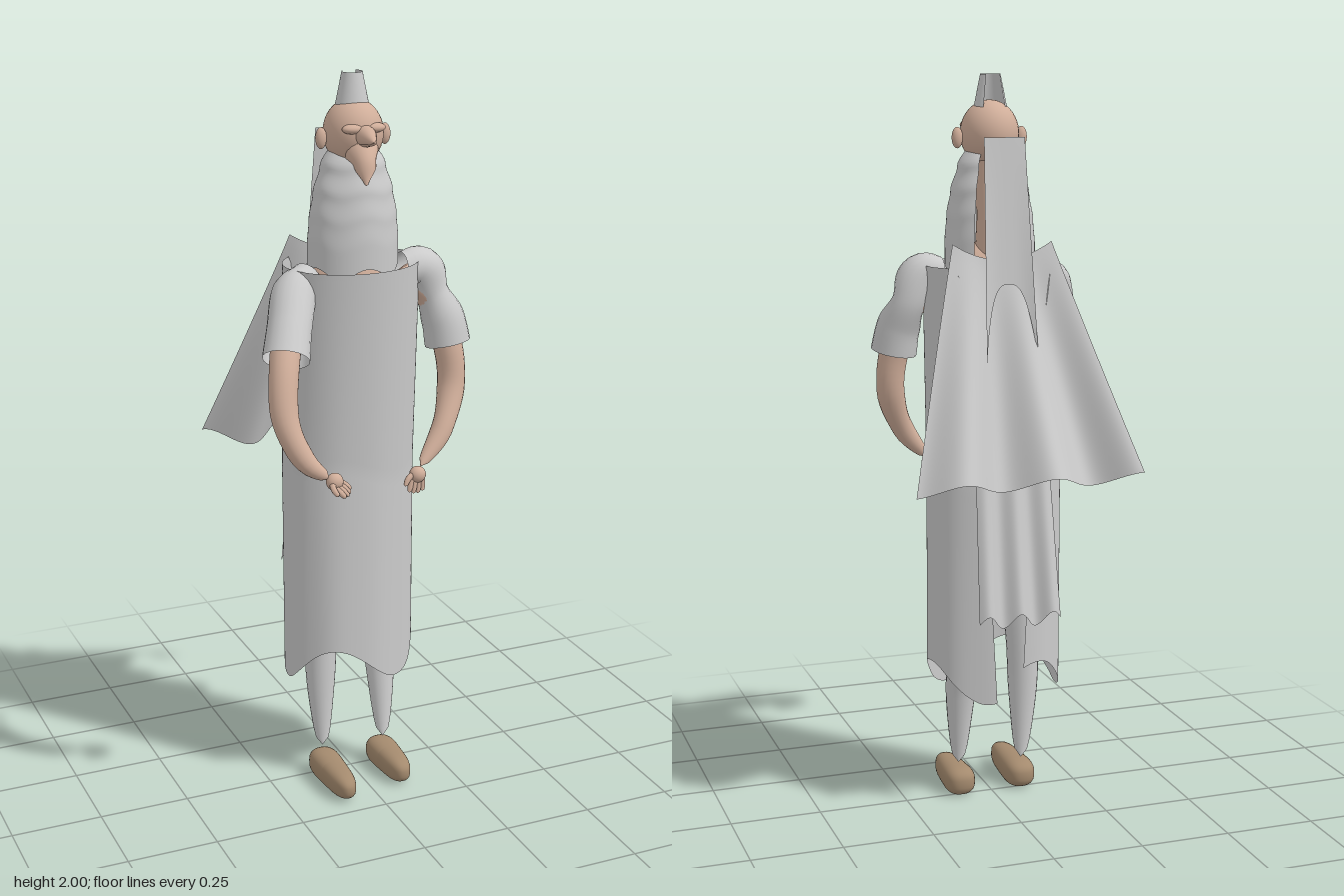
import * as THREE from 'three';
import { ParametricGeometry } from 'three/addons/geometries/ParametricGeometry.js';

const material = (color, side = THREE.FrontSide) => new THREE.MeshStandardMaterial({ color, side, roughness: 0.8 });
const cloth = material(0xcccccc, THREE.DoubleSide);
const skin = material(0xd0ae9a);
const leather = material(0xa48a6e);
const lerp = THREE.MathUtils.lerp;

// Smoothly samples a list of values at t in 0..1
function sample(list, t) {
  const f = t * (list.length - 1);
  const i = Math.min(Math.floor(f), list.length - 2);
  return lerp(list[i], list[i + 1], THREE.MathUtils.smoothstep(f - i, 0, 1));
}

function add(parent, name, geometry, mat, pos = [0, 0, 0], scale = [1, 1, 1]) {
  const mesh = new THREE.Mesh(geometry, mat);
  mesh.name = name;
  mesh.position.set(...pos);
  mesh.scale.set(...scale);
  parent.add(mesh);
  return mesh;
}

const ball = (parent, name, pos, scale, mat = skin) =>
  add(parent, name, new THREE.SphereGeometry(1, 32, 24), mat, pos, scale);

// Tube of changing radius; rounded at both ends unless it is open
function limb(parent, name, points, radii, mat, open = false, rings = 32, sides = 20) {
  const path = new THREE.CatmullRomCurve3(points.map((p) => new THREE.Vector3(...p)));
  const geometry = new THREE.TubeGeometry(path, rings, 1, sides);
  const pos = geometry.attributes.position;
  const v = new THREE.Vector3();
  for (let i = 0; i <= rings; i++) {
    const t = i / rings;
    const centre = path.getPointAt(t);
    const r = sample(radii, t) * (open ? 1 : Math.sqrt(Math.max(0, 1 - Math.abs(2 * t - 1) ** 10)));
    for (let j = 0; j <= sides; j++) {
      const k = i * (sides + 1) + j;
      v.fromBufferAttribute(pos, k).sub(centre).multiplyScalar(r).add(centre);
      pos.setXYZ(k, v.x, v.y, v.z);
    }
  }
  return add(parent, name, geometry, mat);
}

// Cloth sheet: u runs across from -1 to 1, v runs from top (0) to hem (1)
function sheet(parent, name, rule, across = 80, down = 40) {
  const geometry = new ParametricGeometry((u, v, out) => out.set(...rule(u * 2 - 1, v)), across, down);
  geometry.computeVertexNormals();
  return add(parent, name, geometry, cloth);
}

// Palm, four fingers and a thumb; dir is where the fingers point, spread is the row direction
function hand(parent, name, wrist, dir, spread) {
  const g = new THREE.Group();
  g.name = name;
  parent.add(g);
  const w = new THREE.Vector3(...wrist);
  const d = new THREE.Vector3(...dir).normalize();
  const s = new THREE.Vector3(...spread).normalize();
  const at = (along, side) => w.clone().addScaledVector(d, along).addScaledVector(s, side).toArray();
  ball(g, 'palm', at(0.012, 0), [0.023, 0.023, 0.021]);
  for (let i = 0; i < 4; i++) {
    const side = (i - 1.5) * 0.012;
    limb(g, 'finger', [at(0.022, side), at(0.045, side * 1.15), at(0.068 - Math.abs(i - 1.5) * 0.005, side * 1.2)],
      [0.007, 0.008, 0.006], skin, false, 10, 8);
  }
  limb(g, 'thumb', [at(0.01, 0.015), at(0.022, 0.03), at(0.042, 0.038)], [0.009, 0.008, 0.006], skin, false, 10, 8);
}

export function createModel() {
  const model = new THREE.Group();
  model.name = 'robedFigure';

  // Head with pointed nose and chin
  const head = new THREE.Group();
  head.name = 'head';
  model.add(head);
  ball(head, 'skull', [0, 1.845, 0.015], [0.078, 0.088, 0.086]);
  limb(head, 'nose', [[0, 1.85, 0.05], [0, 1.845, 0.11], [0, 1.838, 0.147]], [0.05, 0.027, 0.012], skin);
  limb(head, 'chin', [[0, 1.81, 0.06], [0, 1.775, 0.09], [0, 1.72, 0.102]], [0.05, 0.029, 0.006], skin);
  for (const s of [-1, 1]) {
    ball(head, 'ear', [s * 0.09, 1.835, 0.015], [0.015, 0.028, 0.013]);
    ball(head, 'brow', [s * 0.03, 1.865, 0.083], [0.03, 0.013, 0.02]);
  }

  // Cap, open at the top and back
  sheet(head, 'cap', (u, v) => {
    const a = u * (Math.PI - 0.75);
    const r = lerp(0.027, 0.047, v);
    return [r * Math.sin(a), lerp(2, 1.9, v), 0.008 + r * Math.cos(a)];
  }, 40, 6);

  // Neck and torso
  limb(model, 'neck', [[0, 1.48, -0.01], [0, 1.62, -0.01], [0, 1.8, 0]], [0.05, 0.043, 0.045], skin);
  const profile = [[0, 0.85], [0.08, 0.87], [0.1, 1.0], [0.1, 1.2], [0.12, 1.35], [0.125, 1.45], [0.09, 1.52], [0.04, 1.56], [0, 1.57]];
  const spline = new THREE.SplineCurve(profile.map((p) => new THREE.Vector2(...p)));
  add(model, 'torso', new THREE.LatheGeometry(spline.getPoints(40), 40), skin, [0, 0, 0.005], [1, 1, 0.68]);

  // Long collar around the front of the neck, open at the back
  sheet(model, 'collar', (u, v) => {
    const a = u * (Math.PI - 0.62);
    const r = sample([0.055, 0.088, 0.107, 0.118, 0.123, 0.123], v);
    const hem = 1.49 + 0.012 * Math.cos(5 * a);
    return [r * Math.sin(a), lerp(1.825, hem, v), 0.012 + r * 0.84 * Math.cos(a)];
  });

  // Robe with a wavy hem and a slit down the back
  sheet(model, 'robe', (u, v) => {
    const a = u * (Math.PI - lerp(0.83, 0.2, Math.sqrt(v)));
    const hem = 0.365 + 0.055 * Math.cos(2.85 * (a + 0.5));
    const fold = 1 + 0.025 * v * Math.cos(2.85 * (a + 0.5)) + 0.008 * v * Math.sin(9 * a);
    const back = Math.min(1, v * 2);
    return [0.187 * fold * Math.sin(a), lerp(1.502, hem, v),
      lerp(0.003, -0.022, back) + lerp(0.152, 0.139, back) * fold * Math.cos(a)];
  }, 120, 50);

  // Flaring cape
  sheet(model, 'cape', (u, v) => {
    const x = u * lerp(0.138, 0.305, v) - 0.013 * v;
    const phase = (2 * Math.PI * (u * 0.305 + 0.057)) / 0.245;
    const z = lerp(-0.09, -0.288, v ** 1.1) - 0.033 * v * Math.cos(phase);
    return [x, lerp(1.52 + 0.045 * u * u, 0.95 + 0.02 * Math.cos(phase), v), z];
  }, 100, 40);

  // Long panel hanging under the cape
  sheet(model, 'backPanel', (u, v) => [
    u * lerp(0.09, 0.115, v),
    lerp(1.48, 0.57 + 0.02 * Math.cos(8 * u), v),
    lerp(-0.095, -0.24, v) - 0.01 * v * Math.cos(8 * u),
  ], 50, 24);

  // Tall strip behind the head with two pointed lower corners
  sheet(model, 'neckStrip', (u, v) => [
    u * lerp(0.056, 0.072, v),
    lerp(1.84, 1.46 - 0.2 * Math.abs(u) ** 3, v),
    lerp(-0.105, -0.14 - 0.035 * Math.abs(u) ** 3, v),
  ], 30, 20);

  // Right arm, reaching forward
  const rightArm = new THREE.Group();
  rightArm.name = 'rightArm';
  model.add(rightArm);
  limb(rightArm, 'sleeve', [[-0.13, 1.475, 0.01], [-0.18, 1.445, 0.05], [-0.22, 1.37, 0.11], [-0.25, 1.3, 0.16]],
    [0.04, 0.06, 0.059, 0.062], cloth, true);
  limb(rightArm, 'arm', [[-0.11, 1.47, 0.01], [-0.2, 1.39, 0.08], [-0.26, 1.27, 0.17], [-0.275, 1.15, 0.22], [-0.235, 1.05, 0.255], [-0.175, 1.0, 0.265]],
    [0.045, 0.045, 0.04, 0.038, 0.032, 0.022], skin);
  hand(rightArm, 'rightHand', [-0.17, 1.0, 0.265], [0.6, -0.6, 0.35], [-0.6, -0.2, 0.7]);

  // Left arm, hanging at the side
  const leftArm = new THREE.Group();
  leftArm.name = 'leftArm';
  model.add(leftArm);
  limb(leftArm, 'sleeve', [[0.13, 1.475, 0.04], [0.18, 1.475, 0.04], [0.22, 1.4, 0.04], [0.245, 1.33, 0.06], [0.255, 1.265, 0.07]],
    [0.045, 0.06, 0.046, 0.059, 0.062], cloth, true);
  limb(leftArm, 'arm', [[0.12, 1.47, 0.035], [0.21, 1.4, 0.04], [0.255, 1.26, 0.07], [0.26, 1.15, 0.085], [0.215, 1.04, 0.125], [0.14, 0.95, 0.15]],
    [0.045, 0.04, 0.04, 0.038, 0.03, 0.02], skin);
  hand(leftArm, 'leftHand', [0.132, 0.942, 0.152], [-0.15, -1, 0.1], [-1, 0.1, 0.2]);

  // Trouser legs and shoes
  for (const [side, s, toe, topZ, footZ] of [['left', 1, 0.18, -0.04, 0.025], ['right', -1, 0.21, 0, 0.005]]) {
    limb(model, side + 'Leg', [[s * 0.075, 0.95, 0], [s * 0.09, 0.5, topZ], [s * 0.094, 0.3, (topZ + footZ) / 2], [s * 0.09, 0.085, footZ]],
      [0.07, 0.06, 0.044, 0.026], cloth);
    const shoe = new THREE.SphereGeometry(1, 32, 20);
    const p = shoe.attributes.position;
    for (let i = 0; i < p.count; i++) {
      // Squared-off ellipsoid with a flat sole, narrowing towards the toe
      const box = (c, e) => Math.sign(c) * Math.abs(c) ** e;
      const z = box(p.getZ(i), 0.5);
      p.setXYZ(i, box(p.getX(i), 0.85) * (0.04 - 0.009 * z),
        0.036 + Math.max(-0.036, box(p.getY(i), 0.75) * (0.04 - 0.004 * z)),
        lerp(-0.03, toe, (z + 1) / 2));
    }
    shoe.computeVertexNormals();
    add(model, side + 'Shoe', shoe, leather, [s * 0.09, 0, 0]);
  }

  return model;
}
